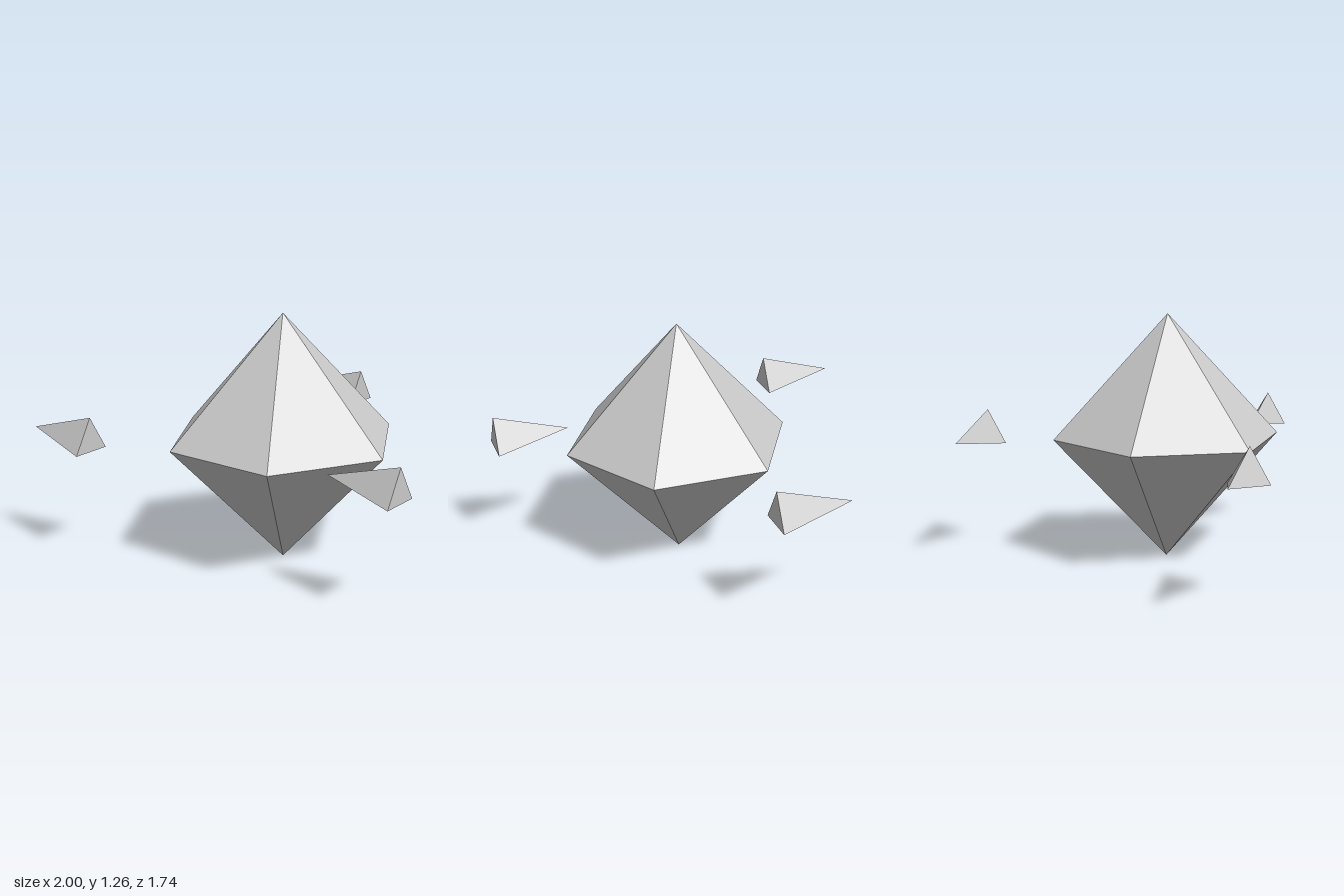
import * as THREE from 'three';

export function createModel() {
  const model = new THREE.Group();
  const grey = new THREE.MeshStandardMaterial({ color: 0xcccccc, flatShading: true });
  grey.name = 'pale grey';
  const midY = 0.63;

  // Six-sided crystal, a double pyramid with corners on the x axis
  const profile = [[0, -0.628], [0.587, 0], [0, 0.628]].map(([r, y]) => new THREE.Vector2(r, y));
  const crystal = new THREE.Mesh(new THREE.LatheGeometry(profile, 6, Math.PI / 2), grey);
  crystal.name = 'crystal';
  crystal.position.set(0.112, midY, 0.157);
  model.add(crystal);

  // Three floating shards, three-sided and pointing along -x with one edge on top
  const shardGeometry = new THREE.ConeGeometry(0.116, 0.39, 3, 1, false, Math.PI / 2);
  shardGeometry.rotateZ(Math.PI / 2);
  [[-0.805, 0.765], [-0.245, -0.77], [0.805, 0.48]].forEach(([x, z], i) => {
    const shard = new THREE.Mesh(shardGeometry, grey);
    shard.name = `shard${i + 1}`;
    shard.position.set(x, midY, z);
    model.add(shard);
  });

  return model;
}
